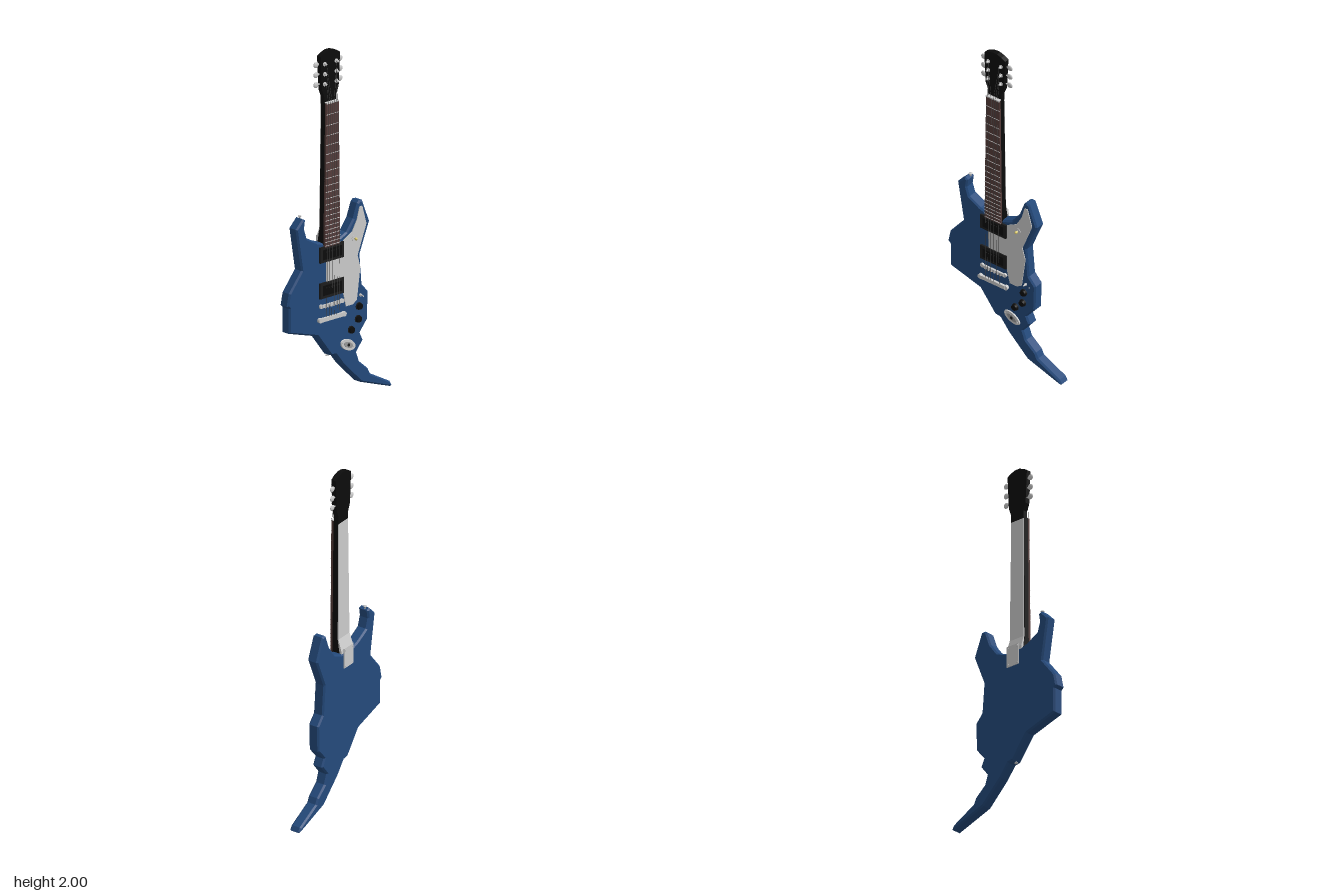
import * as THREE from 'three';

const paint = (color) => new THREE.MeshStandardMaterial({ color });
const flatPaint = (color) => new THREE.MeshStandardMaterial({ color, flatShading: true });
const BLUE = flatPaint(0x244a7c), GREY = paint(0xcccccc), BLACK = paint(0x0c0c0c);
const DARK = paint(0x1c1c1c), WOOD = paint(0x553c3a), STRING = paint(0x444444), CREAM = paint(0xe0cf70);

const NECK_X = -0.068, FRONT = 0.02, BACK = -0.045;
const NUT_Y = 1.71, BRIDGE_Y = 0.57;

function add(parent, name, geometry, material, x = 0, y = 0, z = 0) {
  const mesh = new THREE.Mesh(geometry, material);
  mesh.name = name;
  mesh.position.set(x, y, z);
  parent.add(mesh);
  return mesh;
}

const box = (w, h, d) => new THREE.BoxGeometry(w, h, d);

// Cylinder whose axis points to the front
const disc = (r1, r2, depth, sides = 16) =>
  new THREE.CylinderGeometry(r1, r2, depth, sides).rotateX(Math.PI / 2);

// Flat outline extruded from z0 to z1 with a chamfered edge
function plate(points, z0, z1, bevel) {
  const shape = new THREE.Shape(points.map(([x, y]) => new THREE.Vector2(x, y)));
  const geo = new THREE.ExtrudeGeometry(shape, {
    depth: z1 - z0 - 2 * bevel, bevelEnabled: bevel > 0, bevelSegments: 1,
    bevelSize: bevel, bevelThickness: bevel, bevelOffset: -bevel, curveSegments: 6,
  });
  return geo.translate(0, 0, z0 + bevel);
}

// Bar along y through rectangular sections [y, halfWidth, zBack, zFront]
function bar(sections) {
  const n = sections.length - 1;
  const geo = new THREE.BoxGeometry(1, 1, 1, 1, n, 1);
  const p = geo.attributes.position;
  for (let i = 0; i < p.count; i++) {
    const [y, half, zb, zf] = sections[Math.round((p.getY(i) + 0.5) * n)];
    p.setXYZ(i, NECK_X + Math.sign(p.getX(i)) * half, y, p.getZ(i) > 0 ? zf : zb);
  }
  const flat = geo.toNonIndexed();
  flat.computeVertexNormals();
  return flat;
}

// Half width of the neck at a height
const neckHalf = (y) => THREE.MathUtils.mapLinear(y, 0.9, NUT_Y, 0.055, 0.045);

function addBody(g) {
  const outline = [
    [-0.32, 1.04], [-0.27, 1.09], [-0.25, 1.08], [-0.258, 1.03], [-0.24, 0.975], [-0.165, 0.935],
    [-0.12, 0.92], [-0.01, 0.92], [0.05, 0.945], [0.1, 1.01], [0.13, 1.09], [0.145, 1.103],
    [0.167, 1.1], [0.22, 0.97], [0.15, 0.8], [0.165, 0.625], [0.21, 0.575], [0.205, 0.42],
    [0.15, 0.355], [0.172, 0.31], [0.125, 0.25], [0.145, 0.195], [0.21, 0.14], [0.225, 0.108],
    [0.37, 0.032], [0.385, 0.008], [0.376, 0.001], [0.155, 0.075], [0.025, 0.2], [-0.03, 0.27],
    [-0.065, 0.275], [-0.165, 0.405], [-0.37, 0.465], [-0.37, 0.605], [-0.385, 0.62],
    [-0.37, 0.69], [-0.28, 0.8],
  ];
  add(g, 'body', plate(outline.reverse(), BACK, FRONT, 0.009), BLUE);

  const guard = [
    [0.14, 1.07], [0.16, 1.07], [0.19, 0.965], [0.125, 0.8], [0.145, 0.73], [0.12, 0.55],
    [0.09, 0.53], [0.04, 0.53], [0.02, 0.61], [0.02, 0.7], [-0.105, 0.7], [-0.105, 0.815],
    [0.02, 0.815], [0.02, 0.905], [0.085, 0.94], [0.12, 1.0],
  ];
  add(g, 'pickguard', plate(guard.reverse(), FRONT - 0.002, FRONT + 0.004, 0), GREY);

  add(g, 'neckPlate', box(0.085, 0.12, 0.006), GREY, NECK_X, 0.89, BACK - 0.002);
  for (const sx of [-1, 1]) for (const sy of [-1, 1])
    add(g, 'plateScrew', disc(0.007, 0.007, 0.004, 10), GREY, NECK_X + sx * 0.032, 0.89 + sy * 0.048, BACK - 0.006);

  // Strap buttons at the horn and at the lower edge
  const button = new THREE.LatheGeometry([[0, 0], [0.006, 0], [0.004, 0.012], [0.01, 0.016], [0.01, 0.02], [0, 0.021]]
    .map(([x, y]) => new THREE.Vector2(x, y)), 12);
  add(g, 'upperStrapButton', button, GREY, -0.26, 1.08, -0.02);
  add(g, 'lowerStrapButton', button, GREY, -0.06, 0.285, -0.015).rotation.z = Math.PI * 0.95;
}

function addNeck(g) {
  add(g, 'neck', bar([
    [0.9, neckHalf(0.9), -0.03, 0.022], [1.0, neckHalf(1), -0.012, 0.022],
    [NUT_Y, 0.045, -0.009, 0.022],
  ]), BLACK);
  add(g, 'neckBack', bar([
    [0.9, 0.054, -0.04, -0.029], [0.94, 0.054, -0.037, -0.022], [1.0, 0.051, -0.017, -0.011],
    [NUT_Y, 0.0445, -0.012, -0.008],
  ]), GREY);
  add(g, 'fretboard', bar([[0.9, 0.055, 0.02, 0.034], [NUT_Y, 0.045, 0.02, 0.034]]), WOOD);
  for (let i = 1; i <= 21; i++) {
    const y = BRIDGE_Y + (NUT_Y - BRIDGE_Y) * 2 ** (-i / 12);
    add(g, 'fret', box(neckHalf(y) * 2, 0.003, 0.003), GREY, NECK_X, y, 0.0345);
  }
  add(g, 'nut', box(0.09, 0.008, 0.02), GREY, NECK_X, NUT_Y, 0.027);

  const half = [[0.045, 1.7], [0.045, 1.745], [0.061, 1.785], [0.071, 1.975], [0.045, 1.99], [0.015, 2.0]];
  const head = [...half.map(([x, y]) => [NECK_X + x, y]), ...half.map(([x, y]) => [NECK_X - x, y]).reverse()];
  add(g, 'headstock', plate(head, -0.013, 0.016, 0), BLACK);
}

function addTuners(g) {
  for (const side of [-1, 1]) for (const y of [1.93, 1.873, 1.817]) {
    const tuner = new THREE.Group();
    tuner.name = 'tuner';
    tuner.position.set(NECK_X, y, 0);
    g.add(tuner);
    add(tuner, 'tunerWasher', disc(0.012, 0.012, 0.004), GREY, side * 0.043, 0, 0.017);
    add(tuner, 'tunerPost', disc(0.006, 0.007, 0.016, 12), GREY, side * 0.043, 0, 0.024);
    add(tuner, 'tunerShaft', new THREE.CylinderGeometry(0.004, 0.004, 0.03, 8).rotateZ(Math.PI / 2), GREY, side * 0.07, 0, -0.003);
    add(tuner, 'tunerButton', new THREE.SphereGeometry(1, 14, 10).scale(0.018, 0.017, 0.007), GREY, side * 0.088, 0, -0.003);
  }
}

function addHardware(g) {
  // Pickups with frame, cover and pole screws
  for (const y of [0.86, 0.658]) {
    add(g, 'pickupFrame', box(0.175, 0.088, 0.012), DARK, NECK_X, y, FRONT + 0.005);
    add(g, 'pickupCover', box(0.14, 0.056, 0.012), BLACK, NECK_X, y, FRONT + 0.008);
    for (let i = 0; i < 6; i++)
      add(g, 'polePiece', disc(0.004, 0.004, 0.003, 8), DARK, NECK_X + (i - 2.5) * 0.018, y + 0.014, FRONT + 0.0145);
  }

  // Bridge with saddles and posts
  add(g, 'bridge', box(0.15, 0.016, 0.012), GREY, NECK_X, BRIDGE_Y, FRONT + 0.008);
  for (let i = 0; i < 6; i++)
    add(g, 'saddle', box(0.01, 0.022, 0.008), GREY, NECK_X + (i - 2.5) * 0.02, BRIDGE_Y, FRONT + 0.013);
  for (const s of [-1, 1])
    add(g, 'bridgePost', disc(0.012, 0.012, 0.012), GREY, NECK_X + s * 0.077, BRIDGE_Y, FRONT + 0.006);

  // Tailpiece
  add(g, 'tailpiece', box(0.17, 0.022, 0.014), GREY, NECK_X, 0.495, FRONT + 0.011);
  for (const s of [-1, 1])
    add(g, 'tailpiecePost', disc(0.014, 0.014, 0.018), GREY, NECK_X + s * 0.087, 0.495, FRONT + 0.008);

  // Strings from tailpiece to tuner posts
  for (let i = 0; i < 6; i++) {
    const k = i - 2.5, side = Math.sign(k);
    const row = Math.abs(k) - 0.5;
    const points = [
      [NECK_X + k * 0.019, 0.495, 0.036], [NECK_X + k * 0.019, BRIDGE_Y, 0.039],
      [NECK_X + k * 0.014, NUT_Y, 0.038], [NECK_X + side * 0.038, 1.93 - row * 0.0565, 0.026],
    ].map((p) => new THREE.Vector3(...p));
    const path = new THREE.CurvePath();
    for (let j = 0; j < 3; j++) path.add(new THREE.LineCurve3(points[j], points[j + 1]));
    add(g, 'string', new THREE.TubeGeometry(path, 40, 0.0011, 5), STRING);
  }

  // Control knobs
  for (const [x, y] of [[0.135, 0.51], [0.128, 0.44], [0.077, 0.39]]) {
    add(g, 'knobSkirt', disc(0.021, 0.021, 0.006, 20), DARK, x, y, FRONT + 0.003);
    add(g, 'knob', disc(0.017, 0.019, 0.014, 20), BLACK, x, y, FRONT + 0.011);
  }

  // Pickup selector and small toggle
  add(g, 'selectorWasher', disc(0.016, 0.016, 0.005), GREY, 0.097, 0.902, FRONT + 0.005);
  add(g, 'selectorLever', disc(0.004, 0.004, 0.014, 8), GREY, 0.097, 0.902, FRONT + 0.012);
  add(g, 'selectorTip', new THREE.SphereGeometry(0.008, 12, 8).scale(1, 1, 1.3), CREAM, 0.097, 0.902, FRONT + 0.021);
  add(g, 'toggleNut', disc(0.009, 0.009, 0.006, 6), GREY, 0.147, 0.57, FRONT + 0.003);
  add(g, 'toggleLever', disc(0.003, 0.006, 0.022, 8), GREY, 0.147, 0.57, FRONT + 0.013);
  for (const [x, y] of [[0.115, 0.583], [0.17, 0.555]])
    add(g, 'toggleScrew', disc(0.004, 0.004, 0.003, 8), GREY, x, y, FRONT + 0.001);

  // Oval output jack
  const jack = new THREE.Group();
  jack.name = 'outputJack';
  jack.position.set(0.055, 0.31, FRONT);
  jack.rotation.z = -0.42;
  g.add(jack);
  add(jack, 'jackPlate', disc(0.94, 1, 0.008, 28).scale(0.058, 0.031, 1), GREY, 0, 0, 0.003);
  add(jack, 'jackCup', disc(0.6, 0.6, 0.002, 24).scale(0.058, 0.026, 1), paint(0x999999), 0, 0, 0.0075);
  add(jack, 'jackSocket', disc(0.009, 0.009, 0.006, 14), DARK, 0, 0, 0.007);
  for (const s of [-1, 1]) add(jack, 'jackScrew', disc(0.004, 0.004, 0.003, 8), GREY, s * 0.044, 0, 0.008);
}

export function createModel() {
  const guitar = new THREE.Group();
  guitar.name = 'guitar';
  addBody(guitar);
  addNeck(guitar);
  addTuners(guitar);
  addHardware(guitar);
  return guitar;
}
